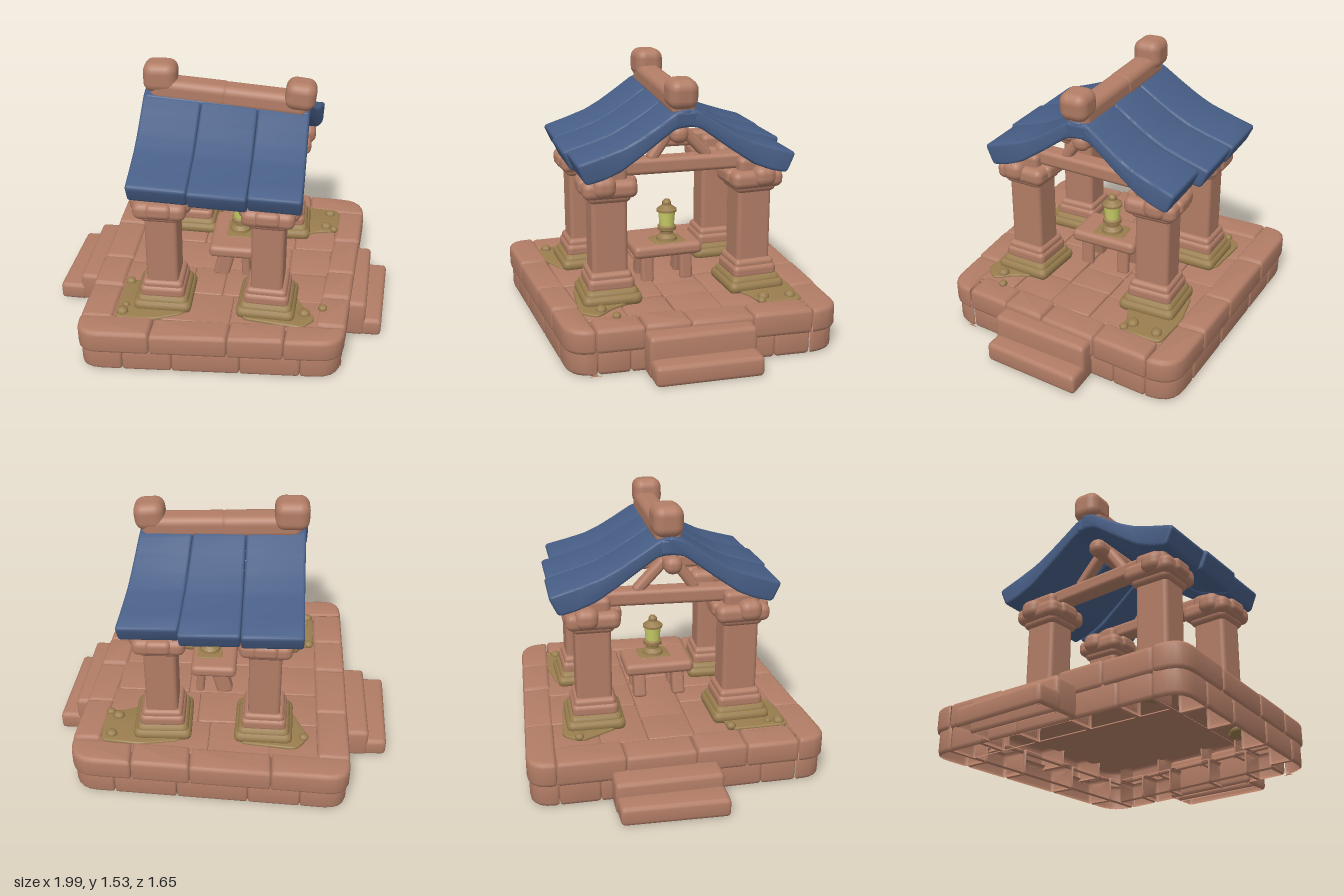
import * as THREE from 'three';
import { toCreasedNormals } from 'three/addons/utils/BufferGeometryUtils.js';
import { RoundedBoxGeometry } from 'three/addons/geometries/RoundedBoxGeometry.js';

const mat = (name, color, side = THREE.FrontSide) => {
  const m = new THREE.MeshStandardMaterial({ color, side });
  m.name = name;
  return m;
};

// Keeps only the triangles whose face normal passes the test
const keepFaces = (geo, test) => {
  const p = geo.attributes.position, n = geo.attributes.normal;
  const pos = [], nor = [];
  const tri = new THREE.Triangle(), face = new THREE.Vector3();
  for (let i = 0; i < p.count; i += 3) {
    tri.setFromAttributeAndIndices(p, i, i + 1, i + 2);
    if (!test(tri.getNormal(face))) continue;
    pos.push(...p.array.slice(i * 3, i * 3 + 9));
    nor.push(...n.array.slice(i * 3, i * 3 + 9));
  }
  const out = new THREE.BufferGeometry();
  out.setAttribute('position', new THREE.Float32BufferAttribute(pos, 3));
  out.setAttribute('normal', new THREE.Float32BufferAttribute(nor, 3));
  return out;
};

export function createModel() {
  const clay = mat('clay stone', 0xb27d66, THREE.DoubleSide);
  const blue = mat('blue tile', 0x475e86);
  const moss = mat('moss', 0x997d4e);
  const glow = mat('lantern glass', 0xc8cc66);
  const root = new THREE.Group();
  root.name = 'shrine';

  const group = (name) => {
    const g = new THREE.Group();
    g.name = name;
    root.add(g);
    return g;
  };
  const add = (parent, name, geo, material, x = 0, y = 0, z = 0) => {
    const m = new THREE.Mesh(geo, material);
    m.name = name;
    m.position.set(x, y, z);
    parent.add(m);
    return m;
  };
  const rbox = (w, h, d, r = 0.025) => new RoundedBoxGeometry(w, h, d, 3, Math.min(r, w / 2.1, h / 2.1, d / 2.1));

  // Rounded polygon: one radius per corner, points as [x, y]
  const polygon = (pts, radii) => {
    const s = new THREE.Shape();
    pts.forEach((p, i) => {
      const v = new THREE.Vector2(...p);
      const prev = new THREE.Vector2(...pts[(i + pts.length - 1) % pts.length]);
      const next = new THREE.Vector2(...pts[(i + 1) % pts.length]);
      const r = Array.isArray(radii) ? radii[i] : radii;
      const a = v.clone().add(prev.sub(v).setLength(r));
      const b = v.clone().add(next.sub(v).setLength(r));
      if (i === 0) s.moveTo(a.x, a.y); else s.lineTo(a.x, a.y);
      s.quadraticCurveTo(v.x, v.y, b.x, b.y);
    });
    s.closePath();
    return s;
  };
  const extrude = (shape, depth, bevel) => new THREE.ExtrudeGeometry(shape, {
    depth: depth - 2 * bevel, bevelEnabled: true, bevelSize: bevel, bevelThickness: bevel,
    bevelOffset: -bevel, bevelSegments: 3, curveSegments: 5,
  }).translate(0, 0, bevel);

  // Soft-edged stone over a floor plan of [x, z] corners, from y0 to y1
  const stone = (parent, name, plan, y0, y1, material = clay, radii = 0.025, bevel = 0.025) => {
    const geo = extrude(polygon(plan.map(([x, z]) => [x, -z]), radii), y1 - y0, bevel);
    geo.rotateX(-Math.PI / 2).translate(0, y0, 0);
    return add(parent, name, toCreasedNormals(geo, 0.65), material);
  };
  const rect = (x0, x1, z0, z1) => [[x0, z0], [x1, z0], [x1, z1], [x0, z1]];
  const mix = (a, b, t) => [a[0] + (b[0] - a[0]) * t, a[1] + (b[1] - a[1]) * t];

  // Rounded bar between two points
  const bar = (parent, name, a, b, w, h, r = 0.025, material = clay) => {
    const p = new THREE.Vector3(...a), q = new THREE.Vector3(...b);
    const m = add(parent, name, rbox(w, h, p.distanceTo(q), r), material);
    m.position.copy(p).add(q).multiplyScalar(0.5);
    m.lookAt(q);
    return m;
  };

  // Two courses of stones around a skewed platform, hollow inside
  const platform = group('platform');
  const sides = [ // outer start, outer end, inner start, inner end, owns corners, inward direction
    [[-0.74, 0.83], [0.735, 0.73], [-0.74, 0.66], [0.745, 0.58], true, [0, 0, -1]],
    [[-0.74, -0.83], [0.83, -0.76], [-0.74, -0.67], [0.84, -0.59], true, [0, 0, 1]],
    [[-0.74, -0.67], [-0.74, 0.66], [-0.555, -0.67], [-0.555, 0.66], false, [1, 0, 0]],
    [[0.84, -0.59], [0.745, 0.58], [0.68, -0.59], [0.575, 0.58], false, [-1, 0, 0]],
  ];
  const courses = [
    { y0: 0, y1: 0.16, scale: 0.985, cuts: [0, 0.17, 0.36, 0.62, 0.85, 1], maxUp: 0.9 },
    { y0: 0.125, y1: 0.27, scale: 1, cuts: [0, 0.28, 0.57, 0.78, 1], maxUp: 2 },
  ];
  for (const c of courses) for (const [o0, o1, i0, i1, corners, dir] of sides) {
    const inward = new THREE.Vector3(...dir);
    for (let k = 0; k + 1 < c.cuts.length; k++) {
      const t0 = c.cuts[k], t1 = c.cuts[k + 1];
      const plan = [mix(o0, o1, t0), mix(o0, o1, t1), mix(i0, i1, t1), mix(i0, i1, t0)]
        .map(([x, z]) => [x * c.scale, z * c.scale]);
      const radii = [0.02, 0.02, 0.02, 0.02];
      if (corners && k === 0) radii[0] = 0.13;
      if (corners && t1 === 1) radii[1] = 0.13;
      const m = stone(platform, 'edgeStone', plan, c.y0, c.y1 - (k % 2) * 0.006, clay, radii);
      m.geometry = keepFaces(m.geometry, (n) => n.y > -0.9 && n.y < c.maxUp && n.dot(inward) < 0.8);
    }
  }

  // Paving: a thin bed with staggered slabs
  const floor = group('floor');
  const bed = [[-0.6, -0.71], [0.71, -0.63], [0.61, 0.62], [-0.6, 0.7]];
  stone(floor, 'floorBed', bed, 0.23, 0.24, clay, 0.02, 0.004);
  const rows = 5;
  for (let i = 0; i < rows; i++) {
    const z0 = -0.67 + i * 0.262, z1 = z0 + 0.258;
    const right = 0.69 - (i + 0.5) * 0.02;
    const cuts = [0, 0.22 + (i % 2) * 0.12, 0.5 + (i % 3) * 0.07, 0.8, 1];
    for (let k = 0; k < 4; k++) {
      const x0 = -0.56 + cuts[k] * (right + 0.56), x1 = -0.56 + cuts[k + 1] * (right + 0.56);
      stone(floor, 'pavingSlab', rect(x0 + 0.002, x1 - 0.002, z0, z1), 0.233, 0.252 + ((i + k) % 3) * 0.003, clay, 0.015, 0.007);
    }
  }

  // Steps on both ends, open underneath
  const steps = group('steps');
  const step = (name, plan, top) => {
    const m = stone(steps, name, plan, 0, top);
    m.geometry = keepFaces(m.geometry, (n) => n.y > -0.9);
  };
  step('leftUpperStep', [[0.76, -0.25], [0.89, -0.25], [0.86, 0.33], [0.72, 0.33]], 0.235);
  step('leftLowerStep', [[0.84, -0.25], [0.995, -0.25], [0.955, 0.325], [0.82, 0.325]], 0.115);
  step('rightUpperStep', rect(-0.87, -0.7, -0.38, 0.205), 0.185);
  step('rightLowerStep', [[-0.98, -0.37], [-0.84, -0.375], [-0.84, 0.21], [-1, 0.21]], 0.11);

  // Moss patches and pebbles; the two front patches reach through the floor
  const mossGroup = group('mossPatches');
  [
    [[0.22, -0.58], [0.45, -0.62], [0.68, -0.6], [0.68, -0.36], [0.55, -0.34], [0.4, -0.26], [0.2, -0.28]],
    [[0.13, 0.3], [0.42, 0.27], [0.5, 0.44], [0.58, 0.53], [0.5, 0.62], [0.16, 0.58]],
    [[-0.55, 0.33], [-0.44, 0.3], [-0.15, 0.32], [-0.16, 0.58], [-0.32, 0.65], [-0.55, 0.66]],
    [[-0.51, -0.51], [-0.44, -0.61], [-0.12, -0.58], [-0.1, -0.3], [-0.41, -0.3]],
  ].forEach((p) => stone(mossGroup, 'mossPatch', p, 0.245, 0.268, moss, 0.04, 0.008));
  stone(mossGroup, 'mossUnderside', [[0.4, 0.42], [0.52, 0.32], [0.58, 0.52], [0.4, 0.57]], 0.205, 0.235, moss, 0.04, 0.012);
  stone(mossGroup, 'mossUnderside', [[-0.54, 0.34], [-0.38, 0.2], [-0.18, 0.34], [-0.3, 0.5], [-0.52, 0.52]], 0.205, 0.235, moss, 0.04, 0.012);
  [[-0.52, 0.33, 0.028], [-0.51, 0.61, 0.032], [-0.5, 0.55, 0.02], [0.51, 0.5, 0.03], [0.61, 0.44, 0.024],
    [0.6, -0.4, 0.032], [0.65, -0.37, 0.024], [0.62, -0.55, 0.03], [-0.48, -0.52, 0.026]].forEach(([x, z, r]) =>
    add(mossGroup, 'pebble', new THREE.SphereGeometry(r, 10, 8).scale(1.1, 0.85, 1), moss, x, 0.27, z));

  // Four pillars
  const pillars = [[-0.295, 0.41, 0.02], [0.295, 0.41, -0.03], [-0.25, -0.41, -0.02], [0.33, -0.41, 0.03]];
  for (const [x, z, turn] of pillars) {
    const g = group('pillar');
    g.position.set(x, 0, z);
    g.rotation.y = turn;
    stone(g, 'mossFoot', rect(-0.165, 0.165, -0.165, 0.165), 0.245, 0.315, moss, 0.04, 0.03);
    stone(g, 'mossCollar', rect(-0.148, 0.148, -0.148, 0.148), 0.27, 0.342, moss, 0.04, 0.03);
    add(g, 'pillarBase', rbox(0.255, 0.08, 0.26, 0.03), clay, 0, 0.36, 0);
    add(g, 'pillarBaseTop', rbox(0.23, 0.06, 0.235, 0.025), clay, 0, 0.4, 0);
    add(g, 'shaft', rbox(0.18, 0.56, 0.2, 0.025), clay, 0, 0.64, 0);
    add(g, 'capitalNeck', rbox(0.23, 0.08, 0.24, 0.035), clay, 0, 0.86, 0);
    add(g, 'capital', rbox(0.29, 0.1, 0.3, 0.04), clay, 0, 0.9, 0);
    add(g, 'capitalTop', rbox(0.2, 0.12, 0.2, 0.03), clay, 0, 0.96, 0);
    add(g, 'crossBlock', rbox(0.34, 0.12, 0.13, 0.05), clay, 0, 0.92, Math.sign(z) * 0.035);
    add(g, 'frontBlock', rbox(0.14, 0.085, 0.325, 0.03), clay, 0, 0.91, 0);
  }

  // Gable frames and inner ridge log
  const frame = group('frame');
  for (const s of [-1, 1]) {
    const xf = s * 0.295, xb = s > 0 ? 0.33 : -0.25, xm = (xf + xb) / 2;
    bar(frame, 'tieBeam', [xf, 0.995, 0.42], [xb, 0.995, -0.42], 0.11, 0.09);
    bar(frame, 'brace', [xm, 1.02, 0.17], [xm, 1.2, 0.04], 0.07, 0.06);
    bar(frame, 'brace', [xm, 1.02, -0.17], [xm, 1.2, 0], 0.07, 0.06);
  }
  bar(frame, 'ridgeLog', [-0.4, 1.19, 0.025], [0.43, 1.17, 0.025], 0.1, 0.1, 0.045);

  // Curved roof: three tile columns on each slope, higher at the right end
  const roof = group('roof');
  const profile = [[-0.02, 1.325], [0.06, 1.31], [0.17, 1.24], [0.27, 1.18], [0.36, 1.136],
    [0.48, 1.1], [0.625, 1.062], [0.575, 0.948], [0.48, 0.968], [0.38, 1.005], [0.25, 1.09], [0.07, 1.215], [-0.02, 1.225]];
  const columns = {
    '1': [[-0.455, -0.13, 0.61], [-0.13, 0.185, 0.625], [0.185, 0.47, 0.605]],
    '-1': [[-0.445, -0.12, 0.655], [-0.12, 0.17, 0.645], [0.17, 0.465, 0.595]],
  };
  for (const s of [1, -1]) for (const [x0, x1, reach] of columns[s]) {
    const pts = profile.map(([z, y]) => [-s * z * reach / 0.625, y]);
    const geo = extrude(polygon(pts, 0.025), x1 - x0 - 0.002, 0.014);
    geo.rotateY(Math.PI / 2).translate(x0 + 0.001, 0, 0);
    const p = geo.attributes.position;
    for (let i = 0; i < p.count; i++) {
      const x = p.getX(i), t = Math.min(1, Math.abs(p.getZ(i)) / 0.65);
      p.setY(i, p.getY(i) + 0.058 * (0.47 - x) * (1 - 0.6 * t));
      if (s < 0) p.setX(i, x + 0.14 * t * Math.max(0, x + 0.15));
    }
    add(roof, 'tileColumn', toCreasedNormals(geo, 0.65), blue);
  }
  bar(roof, 'ridgeTile', [-0.45, 1.318, 0.005], [0.47, 1.265, 0.01], 0.13, 0.09, 0.02, blue);

  // Ridge cap with end blocks
  const ridge = group('ridgeCap');
  bar(ridge, 'ridgeBar', [-0.42, 1.385, -0.01], [0.03, 1.36, 0], 0.14, 0.13, 0.045);
  bar(ridge, 'ridgeBar', [-0.03, 1.362, 0], [0.46, 1.335, 0.015], 0.135, 0.13, 0.045);
  add(ridge, 'rightEndBlock', rbox(0.19, 0.17, 0.165, 0.055), clay, -0.365, 1.45, -0.015).rotation.y = 0.04;
  add(ridge, 'leftEndBlock', rbox(0.17, 0.16, 0.165, 0.055), clay, 0.415, 1.4, 0.025).rotation.z = -0.1;

  // Offering table
  const table = group('table');
  add(table, 'tableTop', rbox(0.27, 0.075, 0.41, 0.03), clay, 0.06, 0.438, 0.015);
  for (const z of [0.135, -0.1]) {
    bar(table, 'tableLeg', [-0.01, 0.24, z], [0.035, 0.42, z], 0.075, 0.095, 0.02);
    bar(table, 'tableLeg', [0.145, 0.24, z], [0.135, 0.42, z], 0.075, 0.05, 0.02);
  }
  stone(table, 'tableMoss', [[0.01, -0.09], [0.16, -0.1], [0.17, 0.09], [0.02, 0.1]], 0.465, 0.479, moss, 0.03, 0.005);

  // Lantern
  const lantern = group('lantern');
  lantern.position.set(0.09, 0, 0);
  const lathe = (name, pts, material) => add(lantern, name,
    toCreasedNormals(new THREE.LatheGeometry(pts.map((p) => new THREE.Vector2(...p)), 12), 0.6), material);
  lathe('lanternFoot', [[0, 0.475], [0.064, 0.475], [0.06, 0.495], [0.038, 0.515], [0.038, 0.53],
    [0.055, 0.54], [0.055, 0.56], [0.045, 0.568], [0, 0.568]], moss);
  lathe('lanternGlass', [[0.043, 0.56], [0.051, 0.655]], glow);
  lathe('lanternRoof', [[0, 0.648], [0.06, 0.65], [0.06, 0.662], [0.026, 0.688], [0.026, 0.705], [0.015, 0.72], [0, 0.72]], moss);

  return root;
}
